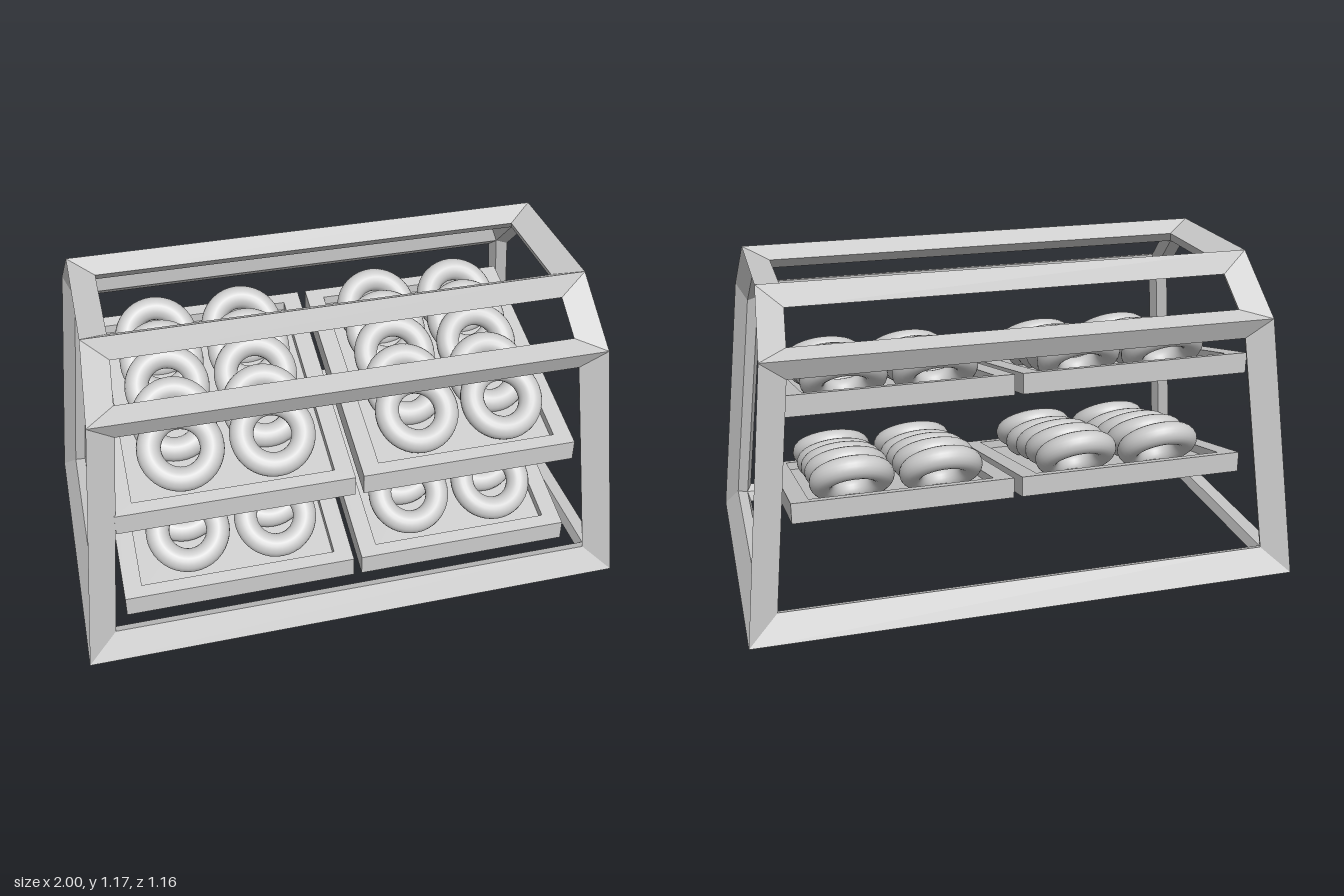
import * as THREE from 'three';

const material = new THREE.MeshStandardMaterial({ color: 0xcccccc });
const flatMaterial = new THREE.MeshStandardMaterial({ color: 0xcccccc, flatShading: true });

// Outer end profile of the frame as [z, y], counter-clockwise seen from +x
const PROFILE = [[0.58, 0], [-0.58, 0], [-0.483, 0.972], [-0.265, 1.168], [0.265, 1.168], [0.483, 0.972]];
const HALF_WIDTH = 1, TAPER = 0.108;   // half width at the base, and its loss per unit of height
const SINK = 0.04, INSET = 0.056;      // bevel depth and bar width

// Point shared by three planes { n, d }, each moved inward by its own distance
function meet(planes, offsets) {
  const [a, b, c] = planes.map((p) => p.n);
  const d = planes.map((p, i) => p.d - offsets[i]);
  const bc = b.clone().cross(c), ca = c.clone().cross(a), ab = a.clone().cross(b);
  const det = a.dot(bc);
  return bc.multiplyScalar(d[0]).add(ca.multiplyScalar(d[1])).add(ab.multiplyScalar(d[2])).divideScalar(det);
}

// Open cage: bevelled bars along every edge of a tapered six-sided prism
function createFrame() {
  const n = PROFILE.length;
  const corner = (side, i) => {
    const [z, y] = PROFILE[(i + n) % n];
    return new THREE.Vector3(side * (HALF_WIDTH - TAPER * y), y, z);
  };
  const ids = PROFILE.map((_, i) => i);
  // Each face lists its corners as [side, index], counter-clockwise from outside
  const faces = [
    ids.map((i) => [1, i]),
    ids.map((i) => [-1, n - 1 - i]),
    ...ids.map((i) => [[1, i], [-1, i], [-1, (i + 1) % n], [1, (i + 1) % n]]),
  ];
  const planes = faces.map((f) => {
    const [a, b, c] = f.slice(0, 3).map(([s, i]) => corner(s, i));
    const normal = b.clone().sub(a).cross(c.clone().sub(a)).normalize();
    return { n: normal, d: normal.dot(a) };
  });
  const planesAt = ([s, i]) => [planes[s > 0 ? 0 : 1], planes[2 + i], planes[2 + (i + n - 1) % n]];
  const inner = (v) => meet(planesAt(v), [2 * SINK, 2 * SINK, 2 * SINK]);
  const inset = (v, plane) => {
    const around = planesAt(v);
    return meet(around, around.map((p) =>
      p === plane ? SINK : SINK + INSET * Math.sqrt(Math.max(0, 1 - p.n.dot(plane.n) ** 2))));
  };

  const points = [];
  const quad = (a, b, c, d) => points.push(a, b, c, a, c, d);
  faces.forEach((face, f) => face.forEach((v, k) => {
    const w = face[(k + 1) % face.length];
    const fv = inset(v, planes[f]), fw = inset(w, planes[f]);
    quad(corner(...v), corner(...w), fw, fv);   // outer bevel
    quad(fv, fw, inner(w), inner(v));           // inner bevel
  }));
  const geometry = new THREE.BufferGeometry().setFromPoints(points);
  geometry.computeVertexNormals();
  const mesh = new THREE.Mesh(geometry, flatMaterial);
  mesh.name = 'frame';
  return mesh;
}

const SLOPE = 0.261, BACK = -0.395, FRONT = 0.487, TRAY_HEIGHT = 0.077;

// Tilts a flat part down toward the front, keeping its ends vertical
function shear(geometry) {
  const p = geometry.attributes.position;
  for (let i = 0; i < p.count; i++) p.setY(i, p.getY(i) + SLOPE * (BACK - p.getZ(i)));
  geometry.computeVertexNormals();
  return geometry;
}

function rectangle(target, x0, x1, z0, z1) {
  return target.moveTo(x0, -z1).lineTo(x1, -z1).lineTo(x1, -z0).lineTo(x0, -z0).closePath();
}

// Tray with a raised rim and a recessed floor
function createTray(x0, x1) {
  const tray = new THREE.Group();
  tray.name = 'tray';
  const rim = 0.065, side = 0.045, floorHeight = 0.045;
  const shape = rectangle(new THREE.Shape(), x0, x1, BACK, FRONT);
  shape.holes.push(rectangle(new THREE.Path(), x0 + rim, x1 - rim, BACK + side, FRONT - side));
  const rimGeometry = new THREE.ExtrudeGeometry(shape, { depth: TRAY_HEIGHT, bevelEnabled: false });
  const rimMesh = new THREE.Mesh(shear(rimGeometry.rotateX(-Math.PI / 2)), flatMaterial);
  rimMesh.name = 'trayRim';

  const floor = new THREE.BoxGeometry(x1 - x0 - 2 * rim, floorHeight, FRONT - BACK - 2 * side);
  floor.translate((x0 + x1) / 2, floorHeight / 2, (FRONT + BACK) / 2);
  const floorMesh = new THREE.Mesh(shear(floor), flatMaterial);
  floorMesh.name = 'trayFloor';
  tray.add(rimMesh, floorMesh);
  return tray;
}

// Ring centres and lean from front to back: [z, y, degrees above horizontal]
const ROWS = [[0.305, 0.313, 40], [0.16, 0.332, 42], [0.02, 0.375, 43], [-0.102, 0.406, 43], [-0.234, 0.424, 45]];
const ringGeometry = new THREE.TorusGeometry(0.11, 0.043, 20, 40);

function createRingColumn(x) {
  const column = new THREE.Group();
  column.name = 'doughnutColumn';
  for (const [z, y, lean] of ROWS) {
    const ring = new THREE.Mesh(ringGeometry, material);
    ring.name = 'doughnut';
    ring.position.set(x, y, z);
    ring.rotation.x = THREE.MathUtils.degToRad(lean - 90);
    column.add(ring);
  }
  return column;
}

export function createModel() {
  const model = new THREE.Group();
  model.name = 'doughnutDisplayRack';
  model.add(createFrame());

  // Two shelves, each with a pair of trays and four columns of rings
  const shelves = [
    { name: 'lowerShelf', tray: 0.353, rings: 0, columns: [-0.585, -0.26, 0.255, 0.58] },
    { name: 'upperShelf', tray: 0.745, rings: 0.384, columns: [-0.585, -0.26, 0.27, 0.592] },
  ];
  for (const { name, tray, rings, columns } of shelves) {
    const shelf = new THREE.Group();
    shelf.name = name;
    for (const [x0, x1] of [[-0.845, -0.005], [0.025, 0.815]]) {
      const part = createTray(x0, x1);
      part.position.y = tray;
      shelf.add(part);
    }
    for (const x of columns) {
      const column = createRingColumn(x);
      column.position.y = rings;
      shelf.add(column);
    }
    model.add(shelf);
  }
  return model;
}
